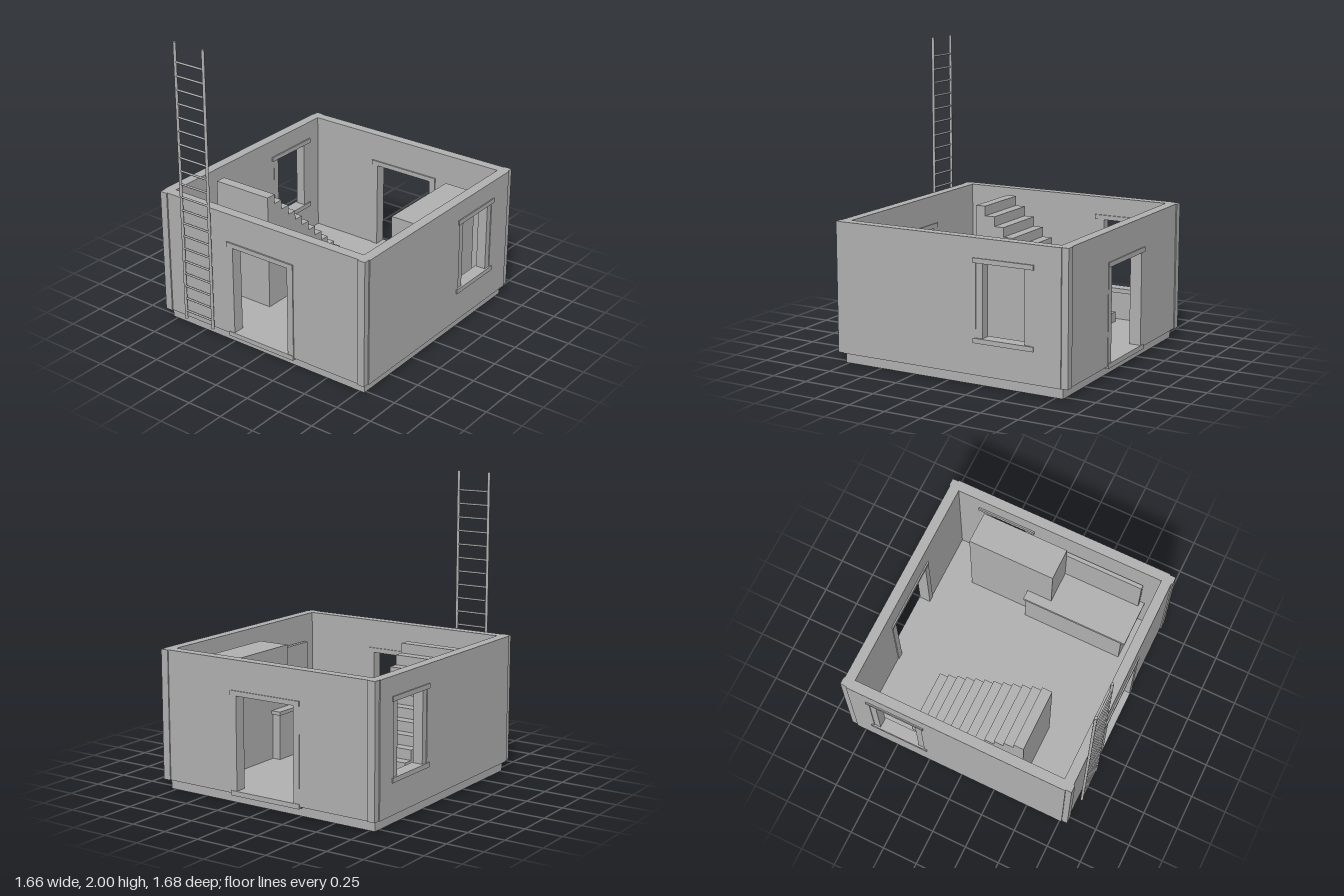
import * as THREE from 'three';

export function createModel() {
  const root = new THREE.Group();
  root.name = 'house';
  const plaster = new THREE.MeshStandardMaterial({ color: 0xb2b2b2 });
  plaster.name = 'plain grey';

  const add = (name, geo, parent = root) => {
    const m = new THREE.Mesh(geo, plaster);
    m.name = name;
    parent.add(m);
    return m;
  };
  // Box given by its minimum and maximum on each axis
  const box = (name, x0, x1, y0, y1, z0, z1, parent) => {
    const m = add(name, new THREE.BoxGeometry(x1 - x0, y1 - y0, z1 - z0), parent);
    m.position.set((x0 + x1) / 2, (y0 + y1) / 2, (z0 + z1) / 2);
    return m;
  };
  const group = (name) => {
    const g = new THREE.Group();
    g.name = name;
    root.add(g);
    return g;
  };
  // Upright wall with one rectangular opening, extruded along z
  const wallGeometry = (u0, u1, hole, depth) => {
    const rect = (P, a, b, c, d) => {
      const p = new P();
      p.moveTo(a, c); p.lineTo(b, c); p.lineTo(b, d); p.lineTo(a, d); p.closePath();
      return p;
    };
    const s = rect(THREE.Shape, u0, u1, 0.07, 0.93);
    s.holes.push(rect(THREE.Path, ...hole));
    return new THREE.ExtrudeGeometry(s, { depth, bevelEnabled: false });
  };

  // Plinth and floor
  box('plinth', -0.787, 0.787, 0, 0.07, -0.80, 0.77);
  box('floor', -0.76, 0.76, 0.07, 0.088, -0.78, 0.74);

  // Front and back walls with framed doorways
  const doorHole = [-0.22, 0.22, 0.088, 0.703];
  for (const [name, z0, z1] of [['front', 0.733, 0.802], ['back', -0.838, -0.768]]) {
    add(name + 'Wall', wallGeometry(-0.77, 0.77, doorHole, z1 - z0)).position.z = z0;
    const frame = group(name + 'DoorFrame');
    const a = z0 - (name === 'front' ? 0.008 : 0.007), b = z1 + 0.01;
    box('lintel', -0.265, 0.265, 0.703, 0.735, a, b, frame);
    box('threshold', -0.262, 0.262, 0.056, 0.088, a, b, frame);
    for (const s of [-1, 1]) {
      const j = box('jamb', -0.0225, 0.0225, 0.088, 0.703, a + 0.004, b - 0.004, frame);
      j.position.x = s * 0.2405;
    }
  }

  // Side walls with framed windows
  for (const [name, s, c] of [['left', 1, -0.407], ['right', -1, -0.457]]) {
    const hole = [-c - 0.19, -c + 0.19, 0.305, 0.775];
    const wall = add(name + 'Wall', wallGeometry(-0.77, 0.80, hole, 0.07));
    wall.rotation.y = Math.PI / 2;
    wall.position.x = s > 0 ? 0.75 : -0.82;
    const frame = group(name + 'WindowFrame');
    const bar = (part, xin, xout, y0, y1, z0, z1) =>
      box(part, Math.min(s * xin, s * xout), Math.max(s * xin, s * xout), y0, y1, z0, z1, frame);
    bar('lintel', 0.74, 0.828, 0.775, 0.806, c - 0.21, c + 0.21);
    bar('sill', 0.74, 0.828, 0.274, 0.305, c - 0.21, c + 0.21);
    bar('jamb', 0.748, 0.815, 0.305, 0.775, c - 0.19, c - 0.145);
    bar('jamb', 0.748, 0.815, 0.305, 0.775, c + 0.145, c + 0.19);
  }

  // Corner posts
  for (const s of [-1, 1]) {
    const [a, b] = s < 0 ? [-0.813, -0.76] : [0.76, 0.813];
    box('cornerPost', a, b, 0.07, 0.93, 0.74, 0.811);
    box('cornerPost', a, b, 0.07, 0.93, -0.845, -0.78);
  }

  // Solid staircase climbing towards the front
  const steps = 12, run = 0.85 / steps, rise = 0.802 / steps;
  const profile = new THREE.Shape();
  profile.moveTo(-0.41, 0.088);
  profile.lineTo(0.44, 0.088);
  for (let i = 0; i < steps; i++) {
    const y = 0.088 + (i + 1) * rise;
    profile.lineTo(0.44 - i * run, y);
    profile.lineTo(0.44 - (i + 1) * run, y);
  }
  profile.closePath();
  const stairs = add('staircase', new THREE.ExtrudeGeometry(profile, { depth: 0.43, bevelEnabled: false }));
  stairs.rotation.y = Math.PI / 2;
  stairs.position.x = -0.682;

  // Cupboard, counter and backboard
  box('cupboard', 0.483, 0.71, 0.088, 0.84, -0.557, 0.065);
  box('counterTop', 0.415, 0.75, 0.395, 0.42, -0.117, 0.655);
  box('counterBody', 0.425, 0.75, 0.088, 0.395, -0.105, 0.625);
  box('backboard', 0.712, 0.74, 0.42, 0.74, -0.087, 0.622);

  // Ladder standing against the front wall
  const ladder = group('ladder');
  for (const x of [-0.615, -0.387]) {
    add('rail', new THREE.CylinderGeometry(0.01, 0.01, 1.93, 12), ladder).position.set(x, 1.035, 0.829);
  }
  for (let i = 0; i < 20; i++) {
    const rung = add('rung', new THREE.CylinderGeometry(0.007, 0.007, 0.228, 10), ladder);
    rung.rotation.z = Math.PI / 2;
    rung.position.set(-0.501, 0.13 + i * 0.0916, 0.829);
  }
  return root;
}
